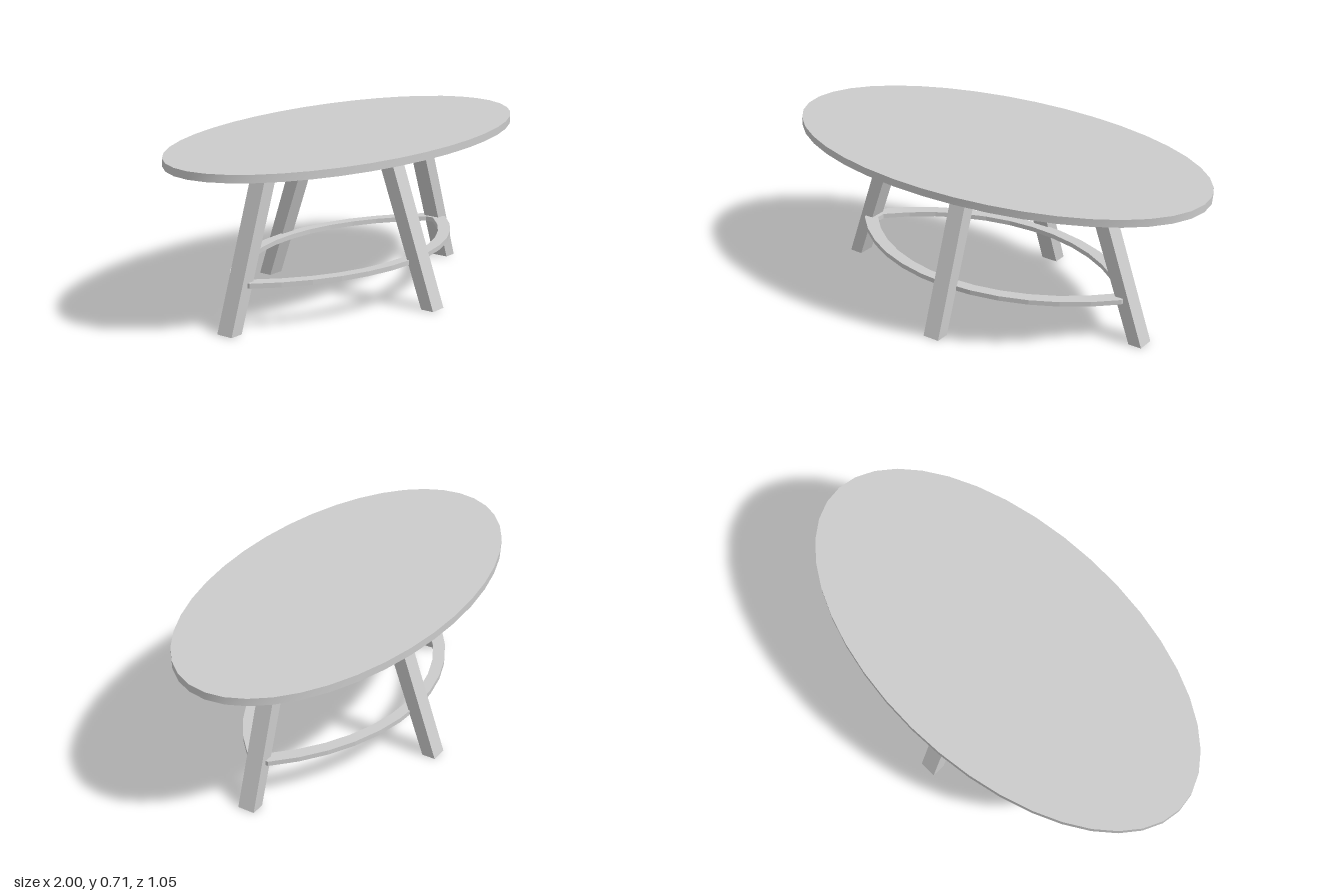
import * as THREE from 'three';

const material = new THREE.MeshStandardMaterial({ color: 0xcccccc });

function addPart(group, name, geometry) {
  geometry.computeVertexNormals();
  const mesh = new THREE.Mesh(geometry, material);
  mesh.name = name;
  group.add(mesh);
  return mesh;
}

// Splayed square leg with level ends, leaning inwards along its local x
function legGeometry(footX, topX, height) {
  const geo = new THREE.BoxGeometry(1, height, 0.077);
  geo.translate(0, height / 2, 0);
  const p = geo.attributes.position;
  for (let i = 0; i < p.count; i++) {
    const atTop = p.getY(i) > height / 2;
    p.setX(i, (atTop ? topX : footX) + p.getX(i) * (atTop ? 0.07 : 0.061));
  }
  return geo;
}

// Outline of two shallow arcs joined by short blunt ends
function lensPoints(halfLength, halfWidth, endHalf, steps = 12) {
  const sag = halfWidth - endHalf;
  const radius = (halfLength ** 2 + sag ** 2) / (2 * sag);
  const sweep = Math.asin(halfLength / radius);
  const points = [];
  for (const side of [1, -1]) {
    for (let i = 0; i <= steps; i++) {
      const a = sweep * (1 - (2 * i) / steps);
      points.push(new THREE.Vector2(
        side * radius * Math.sin(a),
        side * (halfWidth - radius + radius * Math.cos(a))));
    }
  }
  return points;
}

export function createModel() {
  const table = new THREE.Group();
  table.name = 'ovalTable';

  // Oval top
  const top = new THREE.CylinderGeometry(1, 1, 0.033, 40);
  top.scale(1, 1, 0.525);
  top.translate(0, 0.695, 0);
  addPart(table, 'tableTop', top);

  // Four legs on the axes of the oval
  const legs = [
    ['leftLeg', 0, 0.75, 0.51, -0.015, 0.003],
    ['rightLeg', Math.PI, 0.765, 0.52, -0.015, 0.003],
    ['frontLeg', -Math.PI / 2, 0.449, 0.202, 0, 0.003],
    ['backLeg', Math.PI / 2, 0.449, 0.208, 0, 0.003],
  ];
  for (const [name, turn, foot, head, x, z] of legs) {
    const leg = addPart(table, name, legGeometry(foot, head, 0.68));
    leg.rotation.y = turn;
    leg.position.set(x, 0, z);
  }

  // Curved stretcher ring tying the legs together
  const outline = new THREE.Shape(lensPoints(0.69, 0.355, 0.05));
  outline.holes.push(new THREE.Path(lensPoints(0.635, 0.305, 0.02).reverse()));
  const ring = new THREE.ExtrudeGeometry(outline, { depth: 0.021, bevelEnabled: false });
  ring.rotateX(-Math.PI / 2);
  ring.translate(-0.02, 0.184, 0.003);
  addPart(table, 'stretcherRing', ring);

  return table;
}
